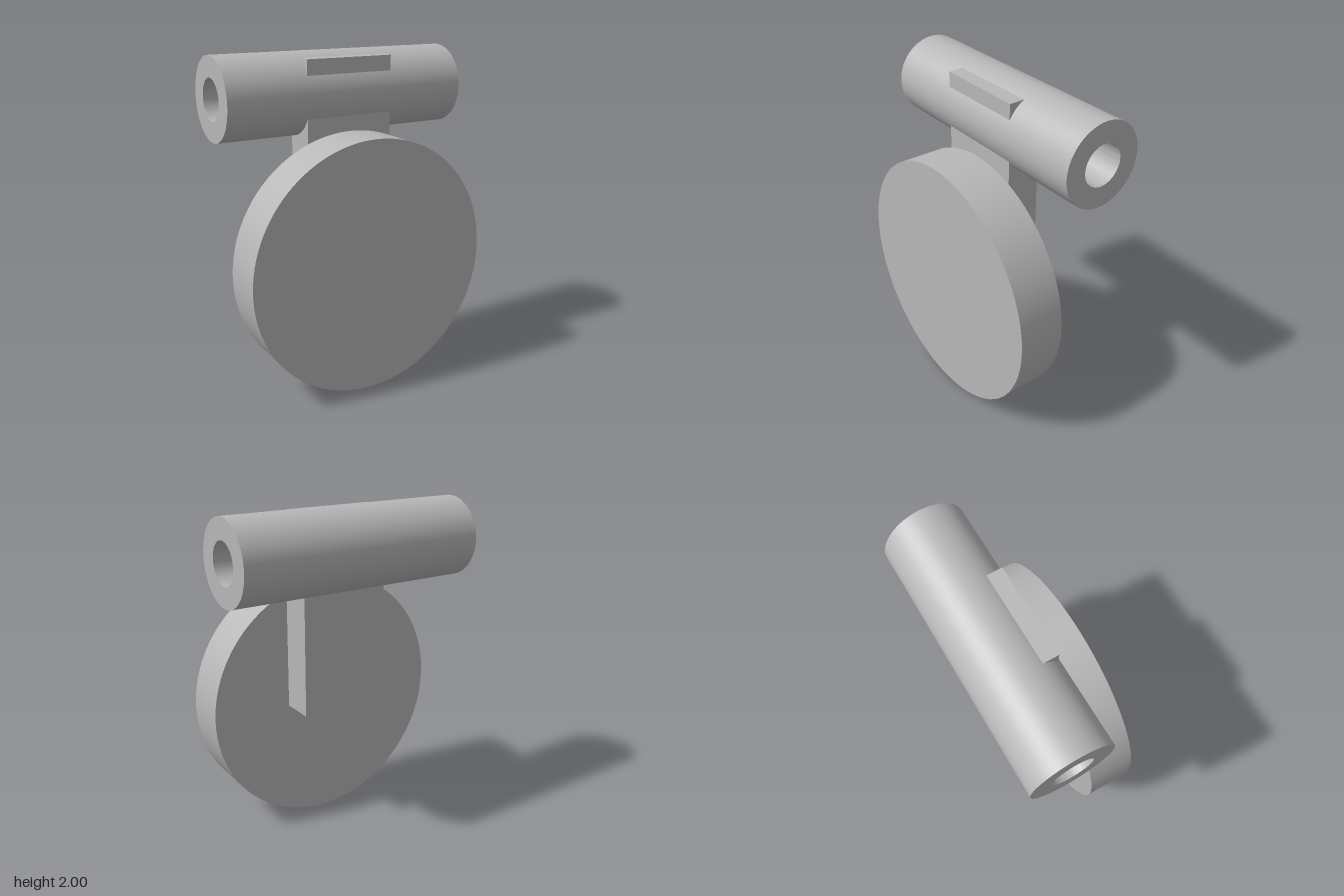
import * as THREE from 'three';
import { toCreasedNormals } from 'three/addons/utils/BufferGeometryUtils.js';

const DISC_R = 0.772, DISC_BACK = 0.083, DISC_FRONT = 0.366;
const TUBE_R = 0.243, BORE_R = 0.121, TUBE_LEN = 1.54, TUBE_Y = 1.757, TUBE_Z = -0.127;
const ARM_W = 0.556, ARM_BACK = -0.12, ARM_BOTTOM = 0.772, ARM_TOP = 1.97;

export function createModel() {
  const model = new THREE.Group();
  model.name = 'hingedDisc';
  const grey = new THREE.MeshStandardMaterial({ color: 0xb8b8b8 });
  grey.name = 'grey';

  const add = (name, geometry) => {
    const mesh = new THREE.Mesh(geometry, grey);
    mesh.name = name;
    model.add(mesh);
    return mesh;
  };

  // Thick round disc standing upright
  const disc = new THREE.CylinderGeometry(DISC_R, DISC_R, DISC_FRONT - DISC_BACK, 128);
  disc.rotateX(Math.PI / 2);
  add('disc', disc).position.set(0, DISC_R, (DISC_FRONT + DISC_BACK) / 2);

  // Hollow hinge tube, turned from a closed rectangular profile
  const h = TUBE_LEN / 2;
  const profile = [[BORE_R, -h], [TUBE_R, -h], [TUBE_R, h], [BORE_R, h], [BORE_R, -h]]
    .map(([x, y]) => new THREE.Vector2(x, y));
  const tube = toCreasedNormals(new THREE.LatheGeometry(profile, 96), 0.6);
  tube.rotateZ(-Math.PI / 2);
  add('hingeTube', tube).position.set(0, TUBE_Y, TUBE_Z);

  // Arm joining disc and tube, notched so the bore stays clear
  const notchR = BORE_R + 0.004;
  const angle = Math.acos((ARM_BACK - TUBE_Z) / -notchR);
  const side = new THREE.Shape();
  side.moveTo(-DISC_BACK, ARM_BOTTOM);
  side.lineTo(-ARM_BACK, ARM_BOTTOM);
  side.absarc(-TUBE_Z, TUBE_Y, notchR, -angle, angle, true);
  side.lineTo(-ARM_BACK, ARM_TOP);
  side.lineTo(-DISC_BACK, ARM_TOP);
  side.closePath();
  const arm = new THREE.ExtrudeGeometry(side, { depth: ARM_W, bevelEnabled: false, curveSegments: 32 });
  arm.translate(0, 0, -ARM_W / 2);
  arm.rotateY(Math.PI / 2);
  add('arm', arm);

  // The whole piece is turned about the vertical
  model.rotation.y = THREE.MathUtils.degToRad(24.4);
  return model;
}
